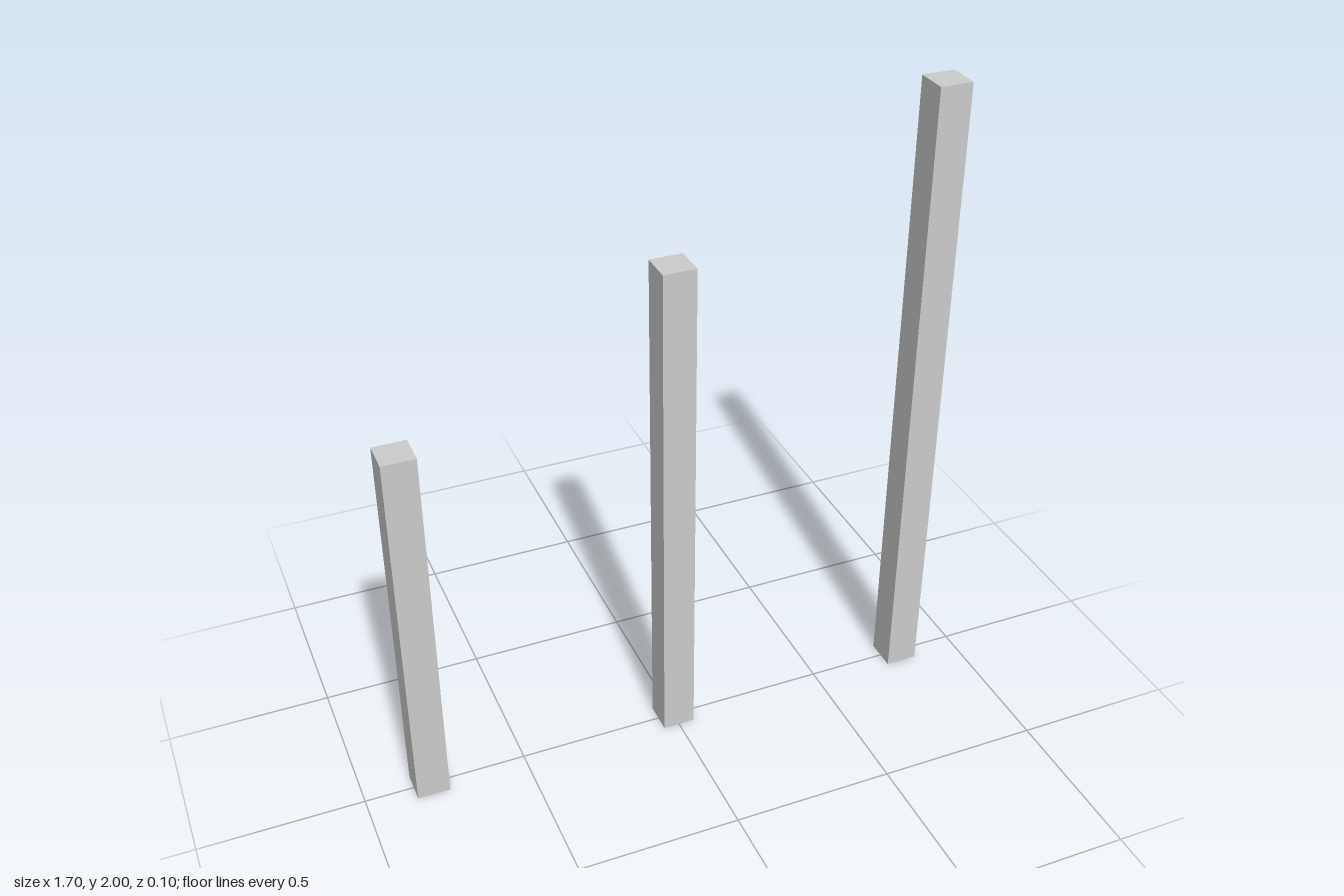
import * as THREE from 'three';

export function createModel() {
  const group = new THREE.Group();
  group.name = 'posts';
  const material = new THREE.MeshStandardMaterial({ color: 0xcccccc, flatShading: true });
  const width = 0.1;

  // Three square posts, rising in even steps towards +x
  const posts = [
    { name: 'shortPost', x: -0.8, height: 1.2 },
    { name: 'middlePost', x: 0, height: 1.6 },
    { name: 'tallPost', x: 0.8, height: 2 },
  ];
  for (const { name, x, height } of posts) {
    const post = new THREE.Mesh(new THREE.BoxGeometry(width, height, width), material);
    post.name = name;
    post.position.set(x, height / 2, 0);
    group.add(post);
  }
  return group;
}
